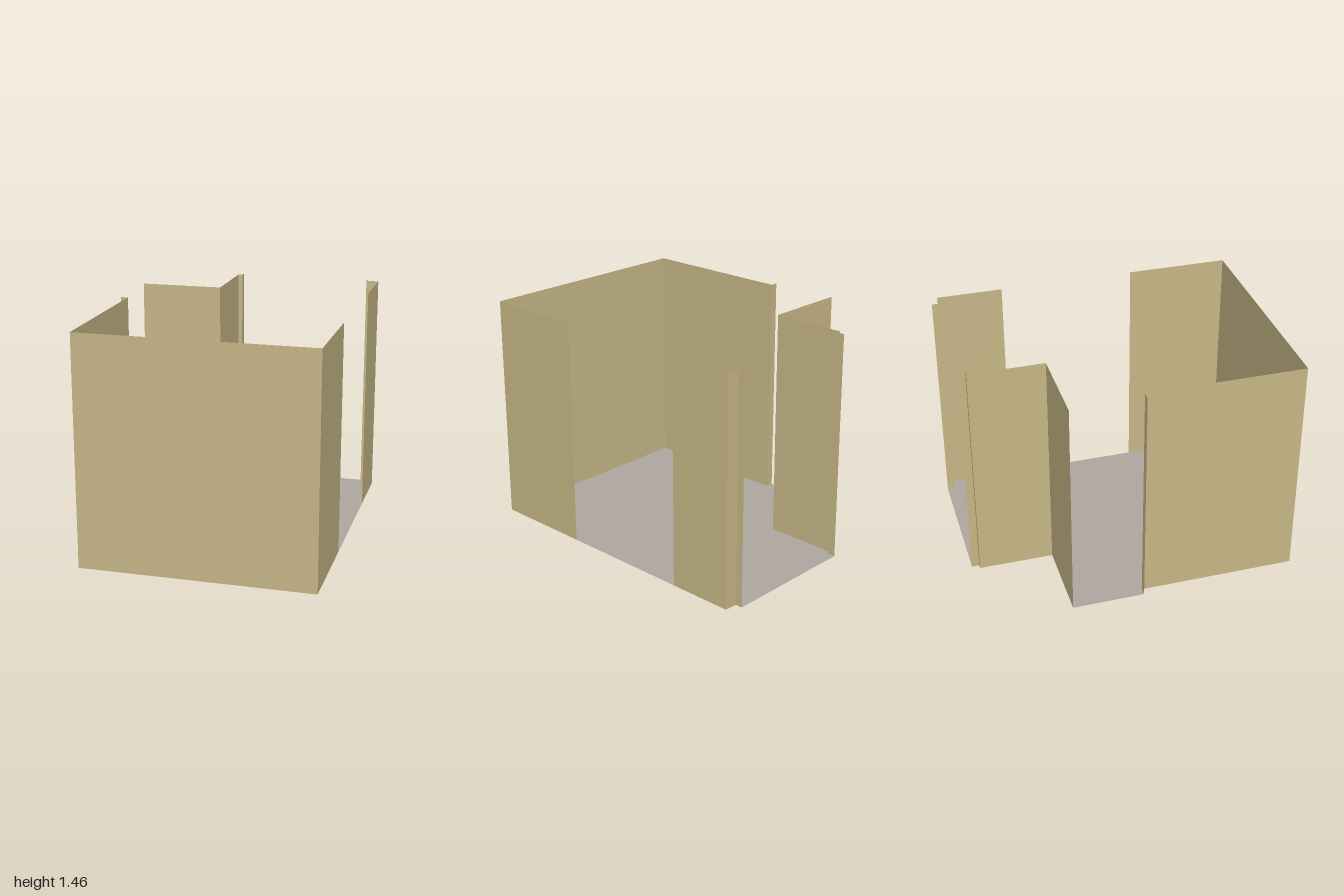
import * as THREE from 'three';

const HEIGHT = 1.455;

// Room outline as [x, z], clockwise seen from above, starting at the back
const OUTLINE = [
  [-0.193, -1], [0.68, -0.99], [0.68, -0.945], [0.762, -0.94],
  [0.738, 1], [-0.728, 0.978], [-0.717, -0.021], [-0.765, -0.021],
  [-0.761, -0.481], [-0.227, -0.476], [-0.22, -0.952], [-0.193, -0.952],
];

// Edges of the wide opening in the right-hand wall
const OPENING_FRONT = [0.746, 0.35];
const OPENING_BACK = [0.757, -0.52];

export function createModel() {
  const wallPaint = new THREE.MeshStandardMaterial({ color: 0xc8b888, side: THREE.DoubleSide });
  const floorGrey = new THREE.MeshStandardMaterial({ color: 0xb0a8a0, side: THREE.DoubleSide });
  wallPaint.name = 'wallPaint';
  floorGrey.name = 'floorGrey';

  const room = new THREE.Group();
  room.name = 'room';

  // Floor sheet
  const shape = new THREE.Shape(OUTLINE.map(([x, z]) => new THREE.Vector2(x, -z)));
  const floor = new THREE.Mesh(new THREE.ShapeGeometry(shape).rotateX(-Math.PI / 2), floorGrey);
  floor.name = 'floor';
  room.add(floor);

  // Upright wall sheet between two floor points
  function addWall(name, [x1, z1], [x2, z2]) {
    const wall = new THREE.Mesh(
      new THREE.PlaneGeometry(Math.hypot(x2 - x1, z2 - z1), HEIGHT), wallPaint);
    wall.position.set((x1 + x2) / 2, HEIGHT / 2, (z1 + z2) / 2);
    wall.rotation.y = -Math.atan2(z2 - z1, x2 - x1);
    wall.name = name;
    room.add(wall);
  }

  const p = OUTLINE;
  // Back corner jamb and the wall up to the wide opening
  addWall('backJambSide', p[1], p[2]);
  addWall('backJambFace', p[2], p[3]);
  addWall('sideWallBack', p[3], OPENING_BACK);
  addWall('sideWallFront', OPENING_FRONT, p[4]);
  // Front and far side, up to the doorway
  addWall('frontWall', p[5], p[4]);
  addWall('farSideWall', p[6], p[5]);
  addWall('doorwayJamb', p[7], p[6]);
  // Recess walls beside the open back
  addWall('recessWall', p[8], p[9]);
  addWall('recessSideWall', p[9], p[10]);
  addWall('recessJambFace', p[10], p[11]);
  addWall('recessJambSide', p[11], p[0]);

  return room;
}
